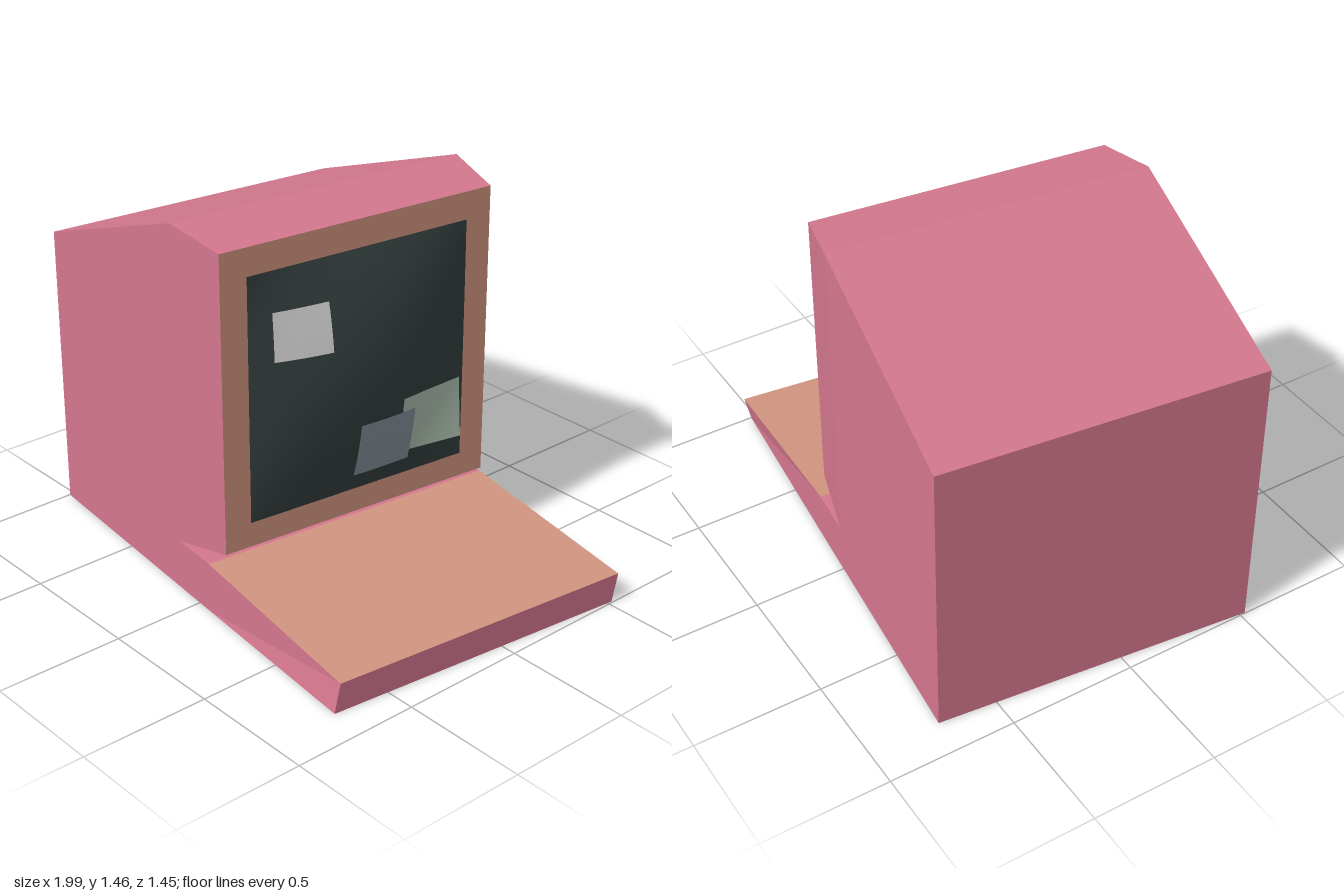
import * as THREE from 'three';

const mat = (name, color, side = THREE.FrontSide) => {
  const m = new THREE.MeshStandardMaterial({ color, side });
  m.name = name;
  return m;
};

// Flat quad strip between successive cross-sections along x.
// Section: { x, lo, hi, w, shift } ; shift moves the upper corners sideways.
function loft(name, sections, mats, caps) {
  const pos = [];
  const geo = new THREE.BufferGeometry();
  const corners = ({ x, lo, hi, w, shift = 0 }) => [
    [x, lo, w], [x, hi, w + shift], [x, hi, -w + shift], [x, lo, -w],
  ];
  const list = [];
  const quad = (a, b, c, d, m) => {
    geo.addGroup(pos.length / 3, 6, list.push(m) - 1);
    pos.push(...a, ...b, ...c, ...a, ...c, ...d);
  };
  for (let i = 0; i + 1 < sections.length; i++) {
    const p = corners(sections[i]), q = corners(sections[i + 1]);
    const own = { ...mats, ...sections[i].mats };
    quad(p[0], q[0], q[1], p[1], own.side);
    quad(p[1], q[1], q[2], p[2], own.top);
    quad(p[2], q[2], q[3], p[3], own.side);
    quad(p[3], q[3], q[0], p[0], own.bottom);
  }
  const s = corners(sections[0]), e = corners(sections.at(-1));
  if (caps.back) quad(s[0], s[1], s[2], s[3], caps.back);
  if (caps.front) quad(e[0], e[3], e[2], e[1], caps.front);
  geo.setAttribute('position', new THREE.Float32BufferAttribute(pos, 3));
  geo.computeVertexNormals();
  const mesh = new THREE.Mesh(geo, list);
  mesh.name = name;
  return mesh;
}

// Grid sheet facing +x, with depth given by a rule of (z, y).
function sheet(name, z0, z1, y0, y1, depth, material, n) {
  const geo = new THREE.PlaneGeometry(1, 1, n, n);
  const p = geo.attributes.position;
  for (let i = 0; i < p.count; i++) {
    const s = p.getX(i) + 0.5, t = p.getY(i) + 0.5;
    const z = z0 + (z1 - z0) * s, y = y0 + (y1 - y0) * t;
    p.setXYZ(i, depth(z, y, s, t), y, z);
  }
  geo.computeVertexNormals();
  const mesh = new THREE.Mesh(geo, material);
  mesh.name = name;
  return mesh;
}

export function createModel() {
  const pink = mat('pink casing', 0xd4778e);
  const peach = mat('peach panel', 0xd29580);
  const dark = mat('dark glass', 0x353f3f, THREE.DoubleSide);
  const white = mat('white patch', 0xd8d8d8, THREE.DoubleSide);
  const mint = mat('mint patch', 0xafc1b2, THREE.DoubleSide);
  const blue = mat('blue grey patch', 0x89939e, THREE.DoubleSide);

  const machine = new THREE.Group();
  machine.name = 'computer';

  // Rear housing with sloping roof
  machine.add(loft('rearHousing', [
    { x: -0.935, lo: 0, hi: 1.145, w: 0.627 },
    { x: -0.06, lo: 0, hi: 1.457, w: 0.627 },
  ], { side: pink, top: pink, bottom: peach }, { back: pink }));

  // Bevelled monitor front; its front cap is the bezel
  machine.add(loft('monitorFront', [
    { x: -0.06, lo: 0.2, hi: 1.457, w: 0.627 },
    { x: 0.195, lo: 0.25, hi: 1.417, w: 0.586 },
  ], { side: pink, top: pink, bottom: peach }, { front: peach }));

  // Keyboard base: short flat ledge, then a slope to the front edge
  machine.add(loft('keyboardBase', [
    { x: -0.06, lo: 0, hi: 0.2, w: 0.627, mats: { top: pink } },
    { x: 0.14, lo: 0, hi: 0.2, w: 0.627 },
    { x: 0.932, lo: 0, hi: 0.112, w: 0.625, shift: -0.024 },
  ], { side: pink, top: peach, bottom: peach }, { front: pink }));

  // Bulging screen
  const dome = (z, y) => {
    const a = z / 0.479, b = (y - 0.83) / 0.482;
    return 0.199 + 0.096 * (1 - a * a) * (1 - b * b);
  };
  machine.add(sheet('screen', 0.479, -0.475, 0.35, 1.31, dome, dark, 16));

  // Patches on the screen
  machine.add(sheet('whiteHighlight', 0.395, 0.175, 0.98, 1.165,
    (z, y) => dome(z, y) + 0.012, white, 5));
  machine.add(sheet('blueHighlight', 0.065, -0.185, 0.44, 0.665,
    (z, y) => dome(z, y) + 0.022, blue, 5));
  const mix = THREE.MathUtils.lerp;
  machine.add(sheet('mintHighlight', -0.138, -0.42, 0.47, 0.71,
    (z, y, s, t) => Math.max(dome(z, y) + 0.006,
      mix(mix(0.24, 0.267, s), mix(0.285, 0.25, s), t)), mint, 5));

  // The whole machine is turned slightly
  machine.rotation.y = -0.109;
  const model = new THREE.Group();
  model.name = 'retroComputer';
  model.add(machine);
  return model;
}
